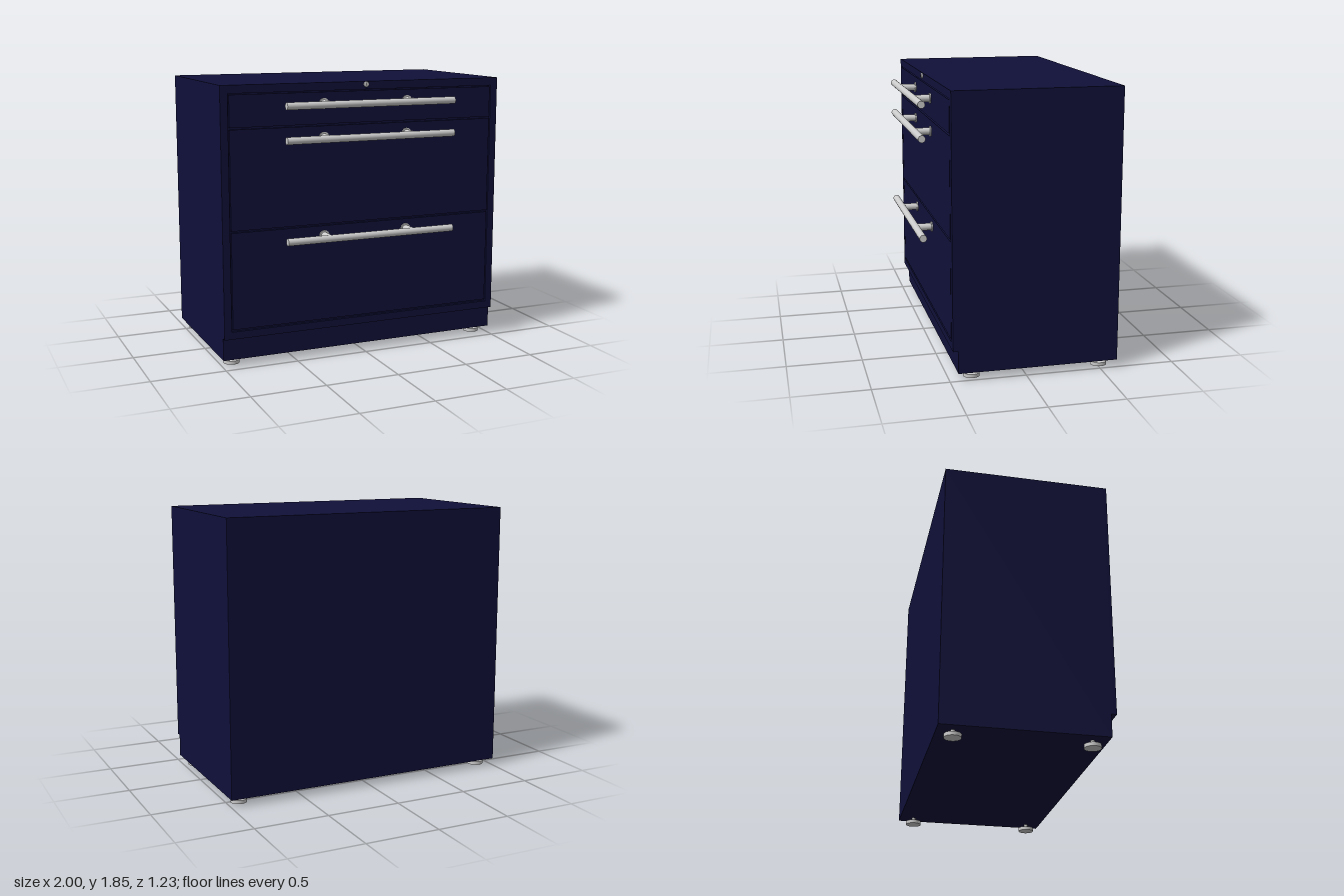
import * as THREE from 'three';

const navy = new THREE.MeshStandardMaterial({ color: 0x10103a });
const grey = new THREE.MeshStandardMaterial({ color: 0xcccccc });
const dark = new THREE.MeshStandardMaterial({ color: 0x222222 });

const FRONT = 0.48, BACK = -0.615, RECESS = 0.46;

function add(parent, name, geometry, material, x = 0, y = 0, z = 0) {
  const mesh = new THREE.Mesh(geometry, material);
  mesh.name = name;
  mesh.position.set(x, y, z);
  parent.add(mesh);
  return mesh;
}

// Solid of revolution along z, from [radius, z] pairs
function turnedZ(points) {
  const geometry = new THREE.LatheGeometry(points.map(([r, z]) => new THREE.Vector2(r, z)), 32);
  return geometry.rotateX(Math.PI / 2);
}

// Carcass: side profile with a toe kick, extruded across the width
function carcassGeometry() {
  const s = new THREE.Shape();
  [[BACK, 0.05], [0.445, 0.05], [0.445, 0.2], [RECESS, 0.2], [RECESS, 1.85], [BACK, 1.85]]
    .forEach(([z, y], i) => (i ? s.lineTo(-z, y) : s.moveTo(-z, y)));
  return new THREE.ExtrudeGeometry(s, { depth: 2, bevelEnabled: false })
    .rotateY(Math.PI / 2).translate(-1, 0, 0);
}

// Rectangle from corners, as an outline
function rect(path, x, y0, y1) {
  path.moveTo(-x, y0);
  path.lineTo(x, y0);
  path.lineTo(x, y1);
  path.lineTo(-x, y1);
  path.closePath();
  return path;
}

function createHandle(y) {
  const handle = new THREE.Group();
  handle.name = 'handle';
  handle.position.set(0, y, 0);
  add(handle, 'handleBar', new THREE.CylinderGeometry(0.024, 0.024, 1.2, 32).rotateZ(Math.PI / 2), grey, 0, 0, 0.591);
  for (const x of [-0.3, 0.3]) {
    add(handle, 'handlePost', new THREE.CylinderGeometry(0.024, 0.024, 0.111, 32).rotateX(Math.PI / 2), grey, x, 0, 0.5355);
    add(handle, 'handleCollar', new THREE.CylinderGeometry(0.035, 0.035, 0.008, 32).rotateX(Math.PI / 2), grey, x, 0, FRONT + 0.004);
  }
  return handle;
}

function createFoot(x, z) {
  const foot = new THREE.Group();
  foot.name = 'foot';
  foot.position.set(x, 0, z);
  add(foot, 'footPad', new THREE.CylinderGeometry(0.054, 0.054, 0.024, 32), grey, 0, 0.012, 0);
  add(foot, 'footStem', new THREE.CylinderGeometry(0.013, 0.013, 0.03, 20), grey, 0, 0.037, 0);
  return foot;
}

export function createModel() {
  const model = new THREE.Group();
  model.name = 'drawerCabinet';
  add(model, 'carcass', carcassGeometry(), navy);

  // Face frame around the drawer opening
  const frame = rect(new THREE.Shape(), 1, 0.2, 1.85);
  frame.holes.push(rect(new THREE.Path(), 0.95, 0.25, 1.797));
  add(model, 'faceFrame', new THREE.ExtrudeGeometry(frame, { depth: FRONT - RECESS, bevelEnabled: false }), navy, 0, 0, RECESS);

  // Flush drawer fronts separated by narrow gaps, each with a bar handle
  const drawers = [
    { bottom: 1.581, top: 1.789, handle: 1.715 },
    { bottom: 0.918, top: 1.569, handle: 1.495 },
    { bottom: 0.264, top: 0.906, handle: 0.84 },
  ];
  for (const { bottom, top, handle } of drawers) {
    add(model, 'drawerFront', new THREE.BoxGeometry(1.884, top - bottom, FRONT - RECESS), navy,
      0, (bottom + top) / 2, (FRONT + RECESS) / 2);
    model.add(createHandle(handle));
  }

  // Lock with a keyhole slot
  const lock = new THREE.Group();
  lock.name = 'lock';
  lock.position.set(0, 1.83, FRONT);
  model.add(lock);
  add(lock, 'lockBarrel', turnedZ([[0.018, 0], [0.018, 0.007], [0.014, 0.011], [0, 0.011]].map(([r, z]) => [r, z])), grey);
  add(lock, 'keySlot', new THREE.BoxGeometry(0.005, 0.018, 0.002), dark, 0, 0, 0.011);

  // Levelling feet
  for (const x of [-0.915, 0.915]) for (const z of [0.345, -0.515]) model.add(createFoot(x, z));

  return model;
}
